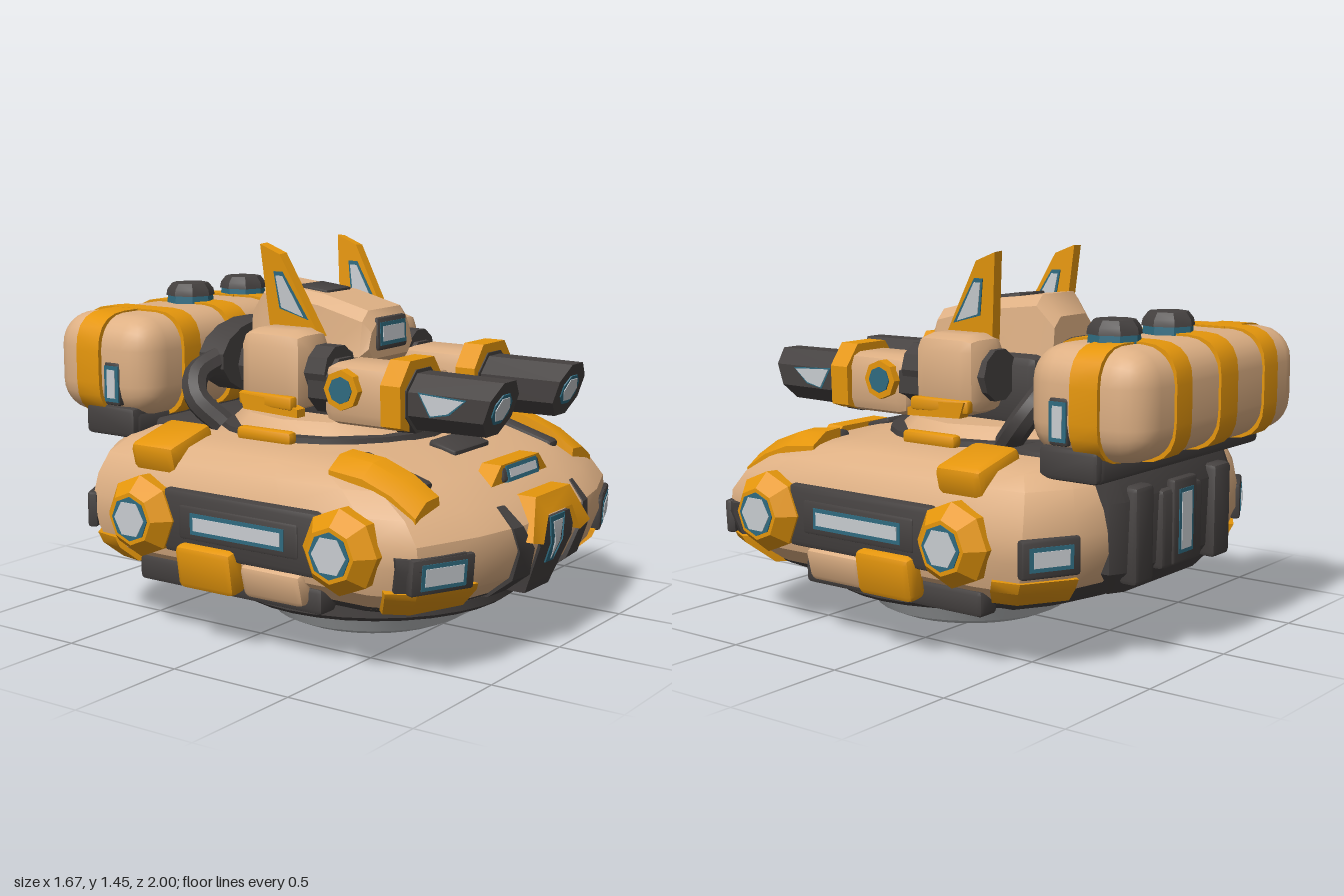
import * as THREE from 'three';
import { toCreasedNormals } from 'three/addons/utils/BufferGeometryUtils.js';
import { RoundedBoxGeometry } from 'three/addons/geometries/RoundedBoxGeometry.js';

const paint = (name, color) => Object.assign(new THREE.MeshStandardMaterial({ color }), { name });
const tan = paint('sand armour', 0xdeb084);
const orange = paint('orange trim', 0xe5960c);
const dark = paint('dark metal', 0x454140);
const teal = paint('teal glow', 0x2f6b80);
const glass = paint('pale glass', 0xc8ccd0);
const grey = paint('hover grey', 0xb8bbbd);

// Reverse triangles where a closed solid is inside out
function faceOutward(g) {
  const p = g.attributes.position, v = [0, 1, 2].map(() => new THREE.Vector3());
  g.computeBoundingBox();
  const c = g.boundingBox.getCenter(new THREE.Vector3());
  let volume = 0;
  for (let i = 0; i < p.count; i += 3) {
    v.forEach((q, k) => q.fromBufferAttribute(p, i + k).sub(c));
    volume += v[0].dot(v[1].clone().cross(v[2]));
  }
  if (volume < 0) for (let i = 0; i < p.count; i += 3) {
    v.forEach((q, k) => q.fromBufferAttribute(p, i + k));
    p.setXYZ(i + 1, v[2].x, v[2].y, v[2].z);
    p.setXYZ(i + 2, v[1].x, v[1].y, v[1].z);
  }
  return g;
}

// Closed skin through rings of equal point count
function loft(rings) {
  const n = rings[0].length, idx = [], last = (rings.length - 1) * n;
  for (let r = 0; r < rings.length - 1; r++) for (let i = 0; i < n; i++) {
    const a = r * n + i, b = r * n + (i + 1) % n;
    idx.push(a, b, b + n, a, b + n, a + n);
  }
  for (let i = 1; i < n - 1; i++) idx.push(0, i + 1, i, last, last + i, last + i + 1);
  const g = new THREE.BufferGeometry();
  g.setAttribute('position', new THREE.Float32BufferAttribute(rings.flat(2), 3));
  g.setIndex(idx);
  return g;
}

// Slide vertices along z by a rule
function shiftZ(g, rule) {
  const p = g.attributes.position;
  for (let i = 0; i < p.count; i++) p.setZ(i, p.getZ(i) + rule(p.getY(i), p.getZ(i)));
  return g;
}

const box = (w, h, d, r = 0.02) => r ? new RoundedBoxGeometry(w, h, d, 1, r) : new THREE.BoxGeometry(w, h, d);
const extrude = (shape, depth) => new THREE.ExtrudeGeometry(shape, { depth, bevelEnabled: false, curveSegments: 5 });
const plate = (pts, depth) => extrude(new THREE.Shape(pts.map(p => new THREE.Vector2(...p))), depth);
// Outline in (z, y), thickness along x
const sidePlate = (pts, depth) => plate(pts.map(([z, y]) => [-z, y]), depth).rotateY(Math.PI / 2);
const lathe = (pts, n) => new THREE.LatheGeometry(pts.map(p => new THREE.Vector2(...p)), n);
const drumZ = (r0, r1, len, n) => new THREE.CylinderGeometry(r1, r0, len, n).rotateY(Math.PI / n).rotateX(Math.PI / 2);
const drumX = (r, len, n) => new THREE.CylinderGeometry(r, r, len, n).rotateZ(Math.PI / 2);

// Hull outline at one height [y, half width, front, back], right half then mirrored
const half = [[0.3, 1], [0.6, 0.95], [0.93, 0.85], [1, 0.68], [1, 0.3], [1, -0.55], [0.97, -0.8], [0.75, -0.93], [0.45, -1]];
const place = (pts, [y, hx, zf, zb]) => pts.map(([u, w]) => [u * hx, y, w * (w > 0 ? zf : zb)]);
const hullRing = level => place([...half, ...half.map(([u, w]) => [-u, w]).reverse()], level);
// Slab hugging part of the hull outline
const hullPatch = (pts, levels, out = 1.02) => loft(levels.map(l => place(
  [...pts.map(q => q.map(v => v * out)), ...pts.map(q => q.map(v => v * 0.9)).reverse()], l)));

export function createModel() {
  const model = new THREE.Group();
  model.name = 'hoverTank';

  function part(name, geo, mat, p = [0, 0, 0], r = [0, 0, 0], mirror = false) {
    geo.applyMatrix4(new THREE.Matrix4().makeRotationFromEuler(new THREE.Euler(...r, 'YXZ')).setPosition(...p));
    const flat = geo.index ? geo.toNonIndexed() : geo;
    for (const s of mirror ? [1, -1] : [1]) {
      const mesh = new THREE.Mesh(toCreasedNormals(faceOutward(flat.clone().scale(s, 1, 1)), 0.55), mat);
      mesh.name = mirror ? (s > 0 ? 'left ' : 'right ') + name : name;
      model.add(mesh);
    }
  }
  const pair = (name, geo, mat, p, r) => part(name, geo, mat, p, r, true);
  // Framed lamp facing local +z
  function lamp(name, w, h, p, r, mirror, gw = 0.62, gh = 0.5) {
    part(name + ' frame', box(w, h, 0.04, 0.012), dark, p, r, mirror);
    part(name + ' glow', box(w * gw + 0.03, h * gh + 0.03, 0.046, 0), teal, p, r, mirror);
    part(name + ' glass', box(w * gw, h * gh, 0.052, 0), glass, p, r, mirror);
  }

  // Hover base
  part('hover dome', lathe([[0, 0], [0.33, 0.005], [0.385, 0.03], [0.43, 0.1], [0.43, 0.13], [0, 0.13]], 32), grey, [0, 0, 0.17]);
  part('hover glow ring', lathe([[0, 0.1], [0.435, 0.1], [0.445, 0.13], [0, 0.13]], 32), teal, [0, 0, 0.17]);
  part('hover skirt', lathe([[0, 0.12], [0.54, 0.12], [0.57, 0.14], [0.57, 0.19], [0.61, 0.2], [0.63, 0.26], [0, 0.26]], 32), dark, [0, 0, 0.18]);

  // Hull
  part('hull tray', loft([[0.19, 0.55, 0.74, 0.55], [0.23, 0.63, 0.84, 0.66], [0.3, 0.68, 0.88, 0.72]].map(hullRing)), dark);
  part('hull', loft([[0.225, 0.62, 0.83, 0.62], [0.31, 0.72, 0.93, 0.73], [0.42, 0.75, 0.97, 0.78], [0.5, 0.75, 0.96, 0.78],
    [0.58, 0.73, 0.89, 0.77], [0.66, 0.69, 0.74, 0.74], [0.71, 0.63, 0.56, 0.68], [0.735, 0.52, 0.42, 0.6]].map(hullRing)), tan);

  // Nose
  const rake = y => -Math.max(0, y - 0.5) * 0.5 - Math.max(0, 0.4 - y) * 0.4;
  part('nose arch', shiftZ(plate([[-0.22, 0.44], [-0.13, 0.585], [0.13, 0.585], [0.22, 0.44], [0.14, 0.42], [0.09, 0.52], [-0.09, 0.52], [-0.14, 0.42]], 0.13), rake), orange, [0, 0, 0.87]);
  part('nose block', shiftZ(plate([[-0.13, 0.44], [-0.1, 0.5], [0.1, 0.5], [0.13, 0.44], [0.12, 0.4], [0.09, 0.21], [-0.09, 0.21], [-0.12, 0.4]], 0.16), rake), dark, [0, 0, 0.815]);
  part('nose glow', shiftZ(plate([[-0.055, 0.5], [0.055, 0.5], [0.043, 0.4], [0.03, 0.32], [-0.03, 0.32], [-0.043, 0.4]], 0.006), rake), teal, [0, 0, 0.975]);
  part('nose glass', shiftZ(plate([[-0.035, 0.48], [0.035, 0.48], [0.016, 0.4], [0, 0.33], [-0.016, 0.4]], 0.006), rake), glass, [0, 0, 0.978]);
  pair('nose strut', loft([[0.22, 0.13, 0.24, 0.84], [0.3, 0.14, 0.25, 0.945], [0.41, 0.17, 0.26, 0.98], [0.5, 0.23, 0.285, 0.965], [0.57, 0.25, 0.285, 0.9]].map(([y, a, b, z]) =>
    [[a, y, z - 0.1], [a, y, z], [b, y, z - 0.01], [b, y, z - 0.1]])), dark);
  part('hood lamp surround', plate([[-0.21, 0.615], [-0.14, 0.685], [0.14, 0.685], [0.21, 0.615]], 0.08), orange, [0, 0, 0.74]);
  lamp('hood lamp', 0.27, 0.055, [0, 0.645, 0.81], [-0.25, 0, 0], false, 0.72, 0.55);
  part('hood vent', box(0.25, 0.03, 0.12, 0.01), dark, [0, 0.712, 0.56], [0.27, 0, 0]);

  // Fenders and corner lamps
  pair('front fender gap', box(0.07, 0.06, 0.3), dark, [0.465, 0.68, 0.57], [0.28, 0, 0]);
  pair('front fender plate', loft([[0.78, 0.56, 0.635], [0.68, 0.58, 0.7], [0.56, 0.6, 0.745], [0.42, 0.6, 0.76]].map(([z, b, t]) =>
    [[0.49, b, z], [0.5, t, z], [0.58, t - 0.005, z], [0.65, t - 0.05, z], [0.65, b, z]])), orange);
  pair('rear fender plate', box(0.25, 0.13, 0.21, 0.03), orange, [0.595, 0.69, -0.335], [0, 0, -0.25]);
  const frontCorner = [[0.6, 0.95], [0.93, 0.85], [1, 0.75]], rearCorner = [[0.72, -0.95], [0.97, -0.8], [1, -0.66]];
  pair('front corner trim', hullPatch(frontCorner, [[0.225, 0.63, 0.84, 1], [0.31, 0.72, 0.93, 1], [0.335, 0.73, 0.94, 1]]), orange);
  pair('front lamp housing', hullPatch([[0.68, 0.926], [0.93, 0.85], [0.98, 0.78]], [[0.33, 0.726, 0.938, 1], [0.42, 0.75, 0.97, 1], [0.46, 0.75, 0.965, 1]], 1.012), dark);
  lamp('front corner lamp', 0.27, 0.13, [0.6, 0.395, 0.852], [0.06, 0.37, 0.03], true, 0.6, 0.48);
  pair('rear corner trim', hullPatch(rearCorner, [[0.25, 0.66, 1, 0.67], [0.31, 0.72, 1, 0.73], [0.35, 0.73, 1, 0.75]]), orange);
  lamp('rear corner lamp', 0.23, 0.14, [0.64, 0.44, -0.675], [0, 2.65, 0], true, 0.6, 0.4);

  // Side running gear
  pair('side panel', box(0.06, 0.24, 0.72, 0.025), dark, [0.732, 0.46, 0.1]);
  lamp('side lamp', 0.54, 0.13, [0.748, 0.465, 0.1], [0, Math.PI / 2, 0], true, 0.73, 0.38);
  pair('side front flap', box(0.08, 0.13, 0.27, 0.025), tan, [0.71, 0.285, 0.235], [0, 0, -0.25]);
  pair('side rear flap', box(0.09, 0.17, 0.26, 0.025), orange, [0.745, 0.305, -0.04], [0, 0, -0.15]);
  pair('lower sill', box(0.1, 0.1, 0.85), dark, [0.65, 0.24, 0]);
  for (const [end, z] of [['front', 0.55], ['rear', -0.35]]) {
    pair(end + ' hub', lathe([[0, 0], [0.15, 0], [0.155, 0.09], [0.1, 0.15], [0, 0.15]], 8).rotateZ(-Math.PI / 2), orange, [0.68, 0.46, z]);
    pair(end + ' hub glow', drumX(0.084, 0.01, 8), teal, [0.829, 0.46, z]);
    pair(end + ' hub glass', drumX(0.071, 0.012, 6), glass, [0.831, 0.46, z]);
  }

  // Rear bay
  part('rear bay', loft([[0.24, 0.3, -0.72], [0.34, 0.4, -0.79], [0.6, 0.42, -0.8], [0.72, 0.42, -0.75]].map(([y, x, z]) =>
    [[x, y, -0.45], [x, y, z + 0.03], [x - 0.06, y, z], [0.06 - x, y, z], [-x, y, z + 0.03], [-x, y, -0.45]])), dark);
  part('rear door', box(0.28, 0.3, 0.06), dark, [0, 0.46, -0.79]);
  lamp('rear lamp', 0.16, 0.32, [0, 0.48, -0.81], [0, Math.PI, 0], false, 0.42, 0.66);
  pair('rear post', box(0.12, 0.36, 0.08), dark, [0.27, 0.47, -0.79]);
  part('rear deck', box(0.86, 0.07, 0.3), dark, [0, 0.72, -0.48]);

  // Turret ring
  part('turret track', lathe([[0, 0.7], [0.46, 0.7], [0.45, 0.755], [0, 0.755]], 24), dark);
  part('turret plate', lathe([[0, 0.75], [0.41, 0.75], [0.36, 0.8], [0, 0.81]], 12), tan);
  pair('ring guard', box(0.05, 0.05, 0.25, 0.015), orange, [0.455, 0.755, 0]);
  part('turret neck', box(0.42, 0.28, 0.5, 0.04), dark, [0, 0.92, -0.05]);

  // Head and chest
  part('head', loft([[0.25, 1.02, 1.16, 0.15, 0.11], [0.22, 0.99, 1.2, 0.17, 0.13], [0.02, 0.97, 1.25, 0.17, 0.13], [-0.25, 0.97, 1.28, 0.16, 0.12],
    [-0.32, 1, 1.2, 0.13, 0.1]].map(([z, b, t, w, v]) => [[w - 0.03, b, z], [w, b + 0.04, z], [v + 0.02, t - 0.04, z], [v - 0.02, t, z],
    [0.02 - v, t, z], [-v - 0.02, t - 0.04, z], [-w, b + 0.04, z], [0.03 - w, b, z]])), tan);
  lamp('head lamp', 0.2, 0.125, [0, 1.11, 0.24], [-0.05, 0, 0], false, 0.72, 0.46);
  part('head hatch', box(0.16, 0.02, 0.14, 0.005), dark, [0, 1.259, -0.06], [0.11, 0, 0]);
  part('chest', box(0.24, 0.2, 0.34, 0.035), tan, [0, 0.88, 0.28]);
  part('chest trim', box(0.17, 0.02, 0.06, 0.005), orange, [0, 0.978, 0.37]);
  part('chest glow', box(0.15, 0.13, 0.01, 0), teal, [0, 0.875, 0.448]);
  part('chest glass', box(0.138, 0.118, 0.01, 0), glass, [0, 0.875, 0.451]);
  part('rear drum', drumZ(0.15, 0.15, 0.12, 16).scale(1.85, 1, 1), dark, [0, 0.975, -0.41]);

  // Shoulders and fins
  pair('shoulder joint', drumZ(0.1, 0.1, 0.4, 10), dark, [0.28, 0.99, 0.01]);
  pair('shoulder', box(0.22, 0.3, 0.29, 0.06), tan, [0.31, 0.99, -0.02]);
  pair('shoulder guard', sidePlate([[0.13, 0.83], [0.13, 0.86], [0.03, 0.89], [-0.14, 0.9], [-0.12, 0.84]], 0.05), orange, [0.39, 0, 0]);
  pair('shoulder strip', box(0.04, 0.05, 0.26, 0.01), orange, [0.42, 0.88, -0.02], [0, 0.08, 0]);
  const lean = [0, 0, -0.07];
  pair('fin', sidePlate([[0.1, 1.1], [-0.07, 1.405], [-0.16, 1.44], [-0.13, 1.1]], 0.045), orange, [0.132, 0.01, 0], lean);
  pair('fin glow', sidePlate([[0.05, 1.165], [-0.06, 1.34], [-0.1, 1.34], [-0.08, 1.2]], 0.053), teal, [0.128, 0.01, 0], lean);
  pair('fin glass', sidePlate([[0.03, 1.175], [-0.06, 1.325], [-0.09, 1.325], [-0.07, 1.205]], 0.059), glass, [0.125, 0.01, 0], lean);

  // Guns with raked muzzles
  pair('gun housing', box(0.24, 0.23, 0.36, 0.05), tan, [0.255, 0.92, 0.37]);
  pair('gun rear collar', drumZ(0.11, 0.11, 0.1, 8), dark, [0.27, 0.94, 0.18]);
  pair('gun front collar', drumZ(0.128, 0.125, 0.08, 8), dark, [0.255, 0.915, 0.52]);
  pair('gun front arch', plate([[-0.14, 0.87], [-0.145, 0.98], [-0.08, 1.065], [0.08, 1.065], [0.145, 0.98], [0.14, 0.83], [0.08, 0.81], [0.1, 0.96], [0.05, 1.01], [-0.05, 1.01], [-0.1, 0.96], [-0.1, 0.87]], 0.085), orange, [0.258, 0, 0.47]);
  pair('gun barrel', shiftZ(drumZ(0.112, 0.108, 0.4, 8), (y, z) => z > 0 ? y * 0.35 - 0.02 : 0), dark, [0.255, 0.915, 0.7]);
  pair('muzzle glow', drumZ(0.062, 0.062, 0.008, 8), teal, [0.255, 0.915, 0.881], [0.337, 0, 0]);
  pair('muzzle glass', drumZ(0.05, 0.05, 0.008, 6), glass, [0.255, 0.915, 0.884], [0.337, 0, 0]);
  pair('barrel glow', sidePlate([[0.8, 0.95], [0.6, 0.96], [0.65, 0.875], [0.73, 0.89]], 0.006), teal, [0.353, 0, 0]);
  pair('barrel glass', sidePlate([[0.79, 0.945], [0.61, 0.955], [0.655, 0.88], [0.725, 0.895]], 0.006), glass, [0.356, 0, 0]);
  pair('gun pivot', drumX(0.075, 0.05, 8), orange, [0.38, 0.945, 0.3]);
  pair('gun pivot glow', drumX(0.05, 0.01, 8), teal, [0.405, 0.945, 0.3]);

  // Rear pack with straps, rack, caps and hoses
  part('pack', new RoundedBoxGeometry(1.14, 0.4, 0.5, 3, 0.13), tan, [0, 0.96, -0.74]);
  const strap = new THREE.Shape(), a = 0.262, b = 0.208, k = 0.14;
  strap.moveTo(-a + k, -b).lineTo(a - k, -b).quadraticCurveTo(a, -b, a, k - b).lineTo(a, b - k).quadraticCurveTo(a, b, a - k, b)
    .lineTo(k - a, b).quadraticCurveTo(-a, b, -a, b - k).lineTo(-a, k - b).quadraticCurveTo(-a, -b, k - a, -b);
  for (const [x, w] of [[-0.305, 0.1], [0, 0.12], [0.305, 0.1]])
    part('pack strap', extrude(strap, w).rotateY(Math.PI / 2), orange, [x - w / 2, 0.96, -0.738]);
  const wrap = new THREE.Shape();
  wrap.moveTo(0.25, 0.755).lineTo(0.43, 0.755).quadraticCurveTo(0.587, 0.755, 0.587, 0.9).lineTo(0.587, 1.02)
    .quadraticCurveTo(0.587, 1.167, 0.43, 1.167).lineTo(0.25, 1.167);
  pair('pack end strap', extrude(wrap, 0.115), orange, [0, 0, -0.83]);
  lamp('pack lamp', 0.08, 0.17, [0.555, 0.9, -0.66], [0, Math.PI / 2, 0], true, 0.5, 0.65);
  part('pack rack', box(1.08, 0.1, 0.26), dark, [0, 0.74, -0.69]);
  pair('rack end', box(0.1, 0.12, 0.25), dark, [0.51, 0.75, -0.69]);
  for (const x of [0, 0.35]) {
    part('cap glow', lathe([[0, 1.12], [0.1, 1.12], [0.092, 1.2], [0, 1.2]], 8), teal, [x, 0, -0.74]);
    part('cap', lathe([[0, 1.19], [0.1, 1.19], [0.095, 1.215], [0.075, 1.24], [0, 1.245]], 8), dark, [x, 0, -0.74]);
  }
  const hose = new THREE.CatmullRomCurve3([[0.24, 0.98, -0.4], [0.35, 0.93, -0.42], [0.4, 0.85, -0.38], [0.36, 0.75, -0.28]].map(p => new THREE.Vector3(...p)));
  pair('hose', new THREE.TubeGeometry(hose, 12, 0.05, 8), dark);
  return model;
}
